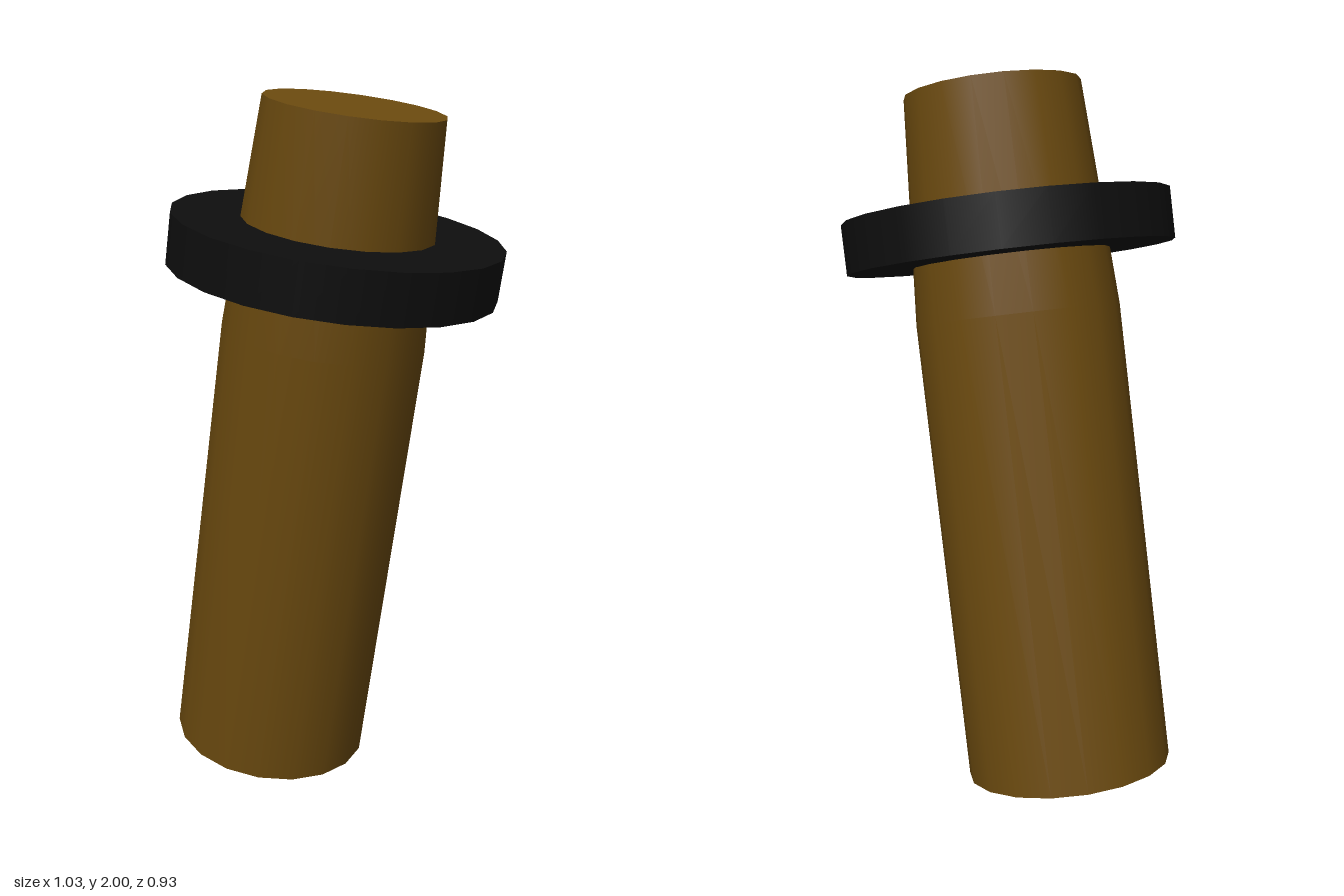
import * as THREE from 'three';

export function createModel() {
  const model = new THREE.Group();
  const brown = new THREE.MeshStandardMaterial({ name: 'brown', color: 0x6b4a0f });
  const black = new THREE.MeshStandardMaterial({ name: 'black', color: 0x0e0e0e });

  // Tilted axis: local y = 0 is the centre of the base
  const post = new THREE.Group();
  post.name = 'tiltedPost';
  post.position.set(-0.232, 0.052, 0);
  post.rotation.z = -0.184;
  model.add(post);

  const LENGTH = 1.936, BEND = 1.305, SIDES = 18;
  const RADIUS = 0.29, TIP_RADIUS = 0.25;

  // Body profile: straight shaft, then a slight taper to the tip
  const shaft = new THREE.LatheGeometry([
    new THREE.Vector2(RADIUS, 0),
    new THREE.Vector2(RADIUS, BEND),
    new THREE.Vector2(TIP_RADIUS, LENGTH),
  ], SIDES);
  const body = new THREE.Mesh(shaft, brown);
  body.name = 'shaft';
  post.add(body);

  // End caps
  const addCap = (name, radius, y, turn) => {
    const cap = new THREE.Mesh(new THREE.CircleGeometry(radius, SIDES, Math.PI / 2), brown);
    cap.name = name;
    cap.rotation.x = turn;
    cap.position.y = y;
    post.add(cap);
  };
  addCap('topCap', TIP_RADIUS, LENGTH, -Math.PI / 2);
  // Opposite starting corner is equivalent because the side count is even
  addCap('bottomCap', RADIUS, 0, Math.PI / 2);

  // Flat collar around the upper part
  const collar = new THREE.Mesh(new THREE.CylinderGeometry(0.464, 0.464, 0.142, 22), black);
  collar.name = 'collar';
  collar.position.y = 1.536;
  post.add(collar);

  return model;
}
